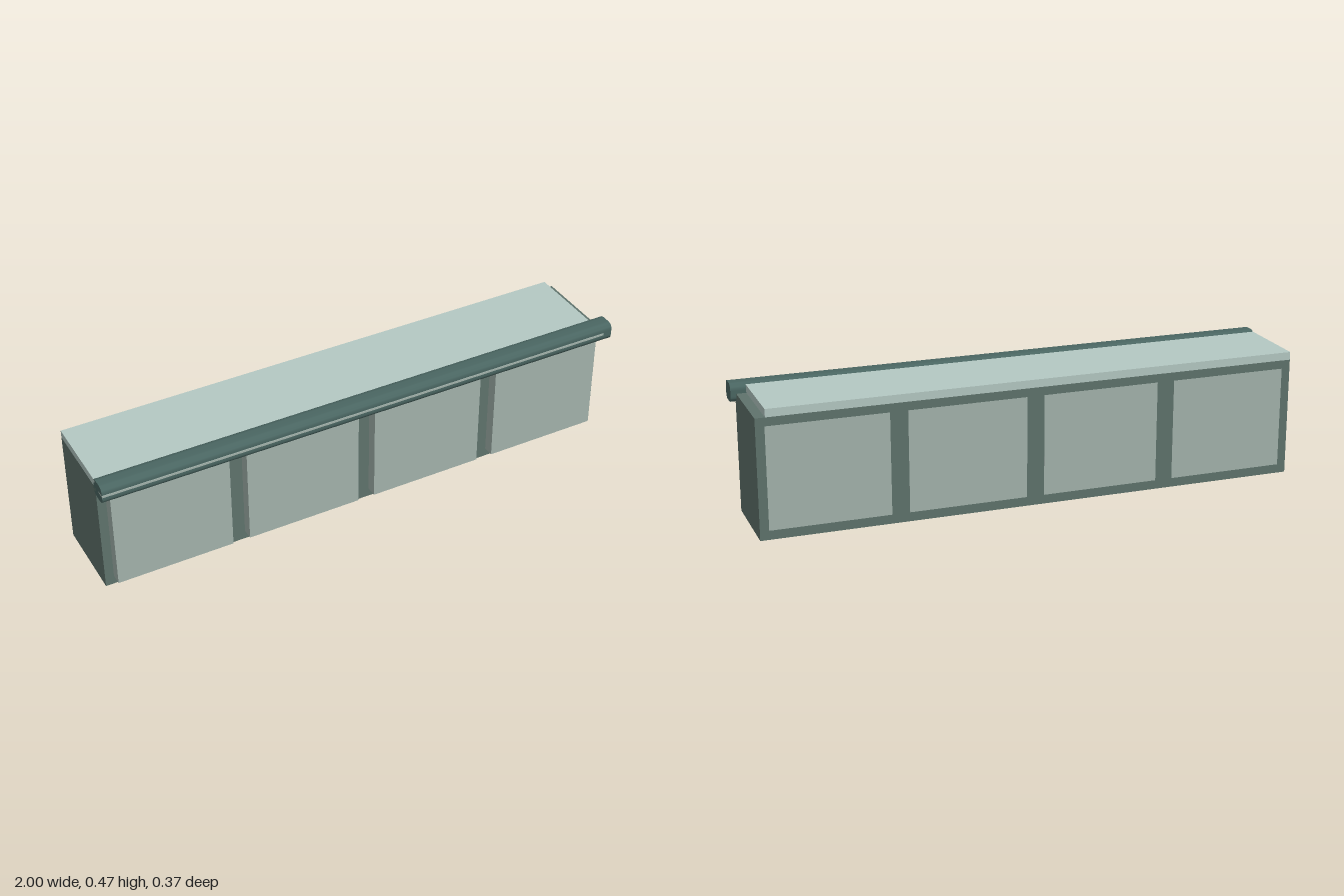
import * as THREE from 'three';
import { toCreasedNormals } from 'three/addons/utils/BufferGeometryUtils.js';

const material = (color) => new THREE.MeshStandardMaterial({ color });

export function createModel() {
  const group = new THREE.Group();
  const dark = material(0x5f736c);
  const pale = material(0xa3b3ac);
  const topPale = material(0xb4c8c3);
  const barDark = material(0x4a6662);

  // Box given by its lower and upper limits on each axis
  function box(name, mat, [x0, x1], [y0, y1], [z0, z1]) {
    const mesh = new THREE.Mesh(new THREE.BoxGeometry(x1 - x0, y1 - y0, z1 - z0), mat);
    mesh.position.set((x0 + x1) / 2, (y0 + y1) / 2, (z0 + z1) / 2);
    mesh.name = name;
    group.add(mesh);
  }

  // Four cabinets, each with a pale core showing at front and back
  const pitch = 0.495, margin = 0.032;
  for (let i = 0; i < 4; i++) {
    const x = -1 + i * pitch;
    box('cabinet', dark, [x, x + pitch], [0, 0.434], [-0.182, 0.122]);
    box('cabinetPanel', pale, [x + margin, x + pitch - margin], [0.033, 0.403], [-0.1825, 0.163]);
  }

  // Worktop slab, stopping short of the left end
  box('worktop', topPale, [-1, 0.945], [0.434, 0.463], [-0.182, 0.122]);

  // Rounded rail along the front edge
  const w = 0.0375, h = 0.0335, r = 0.024;
  const section = new THREE.Shape();
  section.moveTo(-w + r, -h);
  section.lineTo(w - r, -h);
  section.quadraticCurveTo(w, -h, w, -h + r);
  section.lineTo(w, h - r);
  section.quadraticCurveTo(w, h, w - r, h);
  section.lineTo(-w + r, h);
  section.quadraticCurveTo(-w, h, -w, h - r);
  section.lineTo(-w, -h + r);
  section.quadraticCurveTo(-w, -h, -w + r, -h);
  const railGeometry = new THREE.ExtrudeGeometry(section, { depth: 2, bevelEnabled: false, curveSegments: 6 });
  railGeometry.translate(0, 0, -1).rotateY(Math.PI / 2);
  const rail = new THREE.Mesh(toCreasedNormals(railGeometry, 0.7), barDark);
  rail.position.set(0, 0.4355, 0.143);
  rail.name = 'frontRail';
  group.add(rail);

  // Thin trim strip set into the rail
  box('railStrip', pale, [-1, 0.965], [0.433, 0.441], [0.15, 0.183]);

  return group;
}
